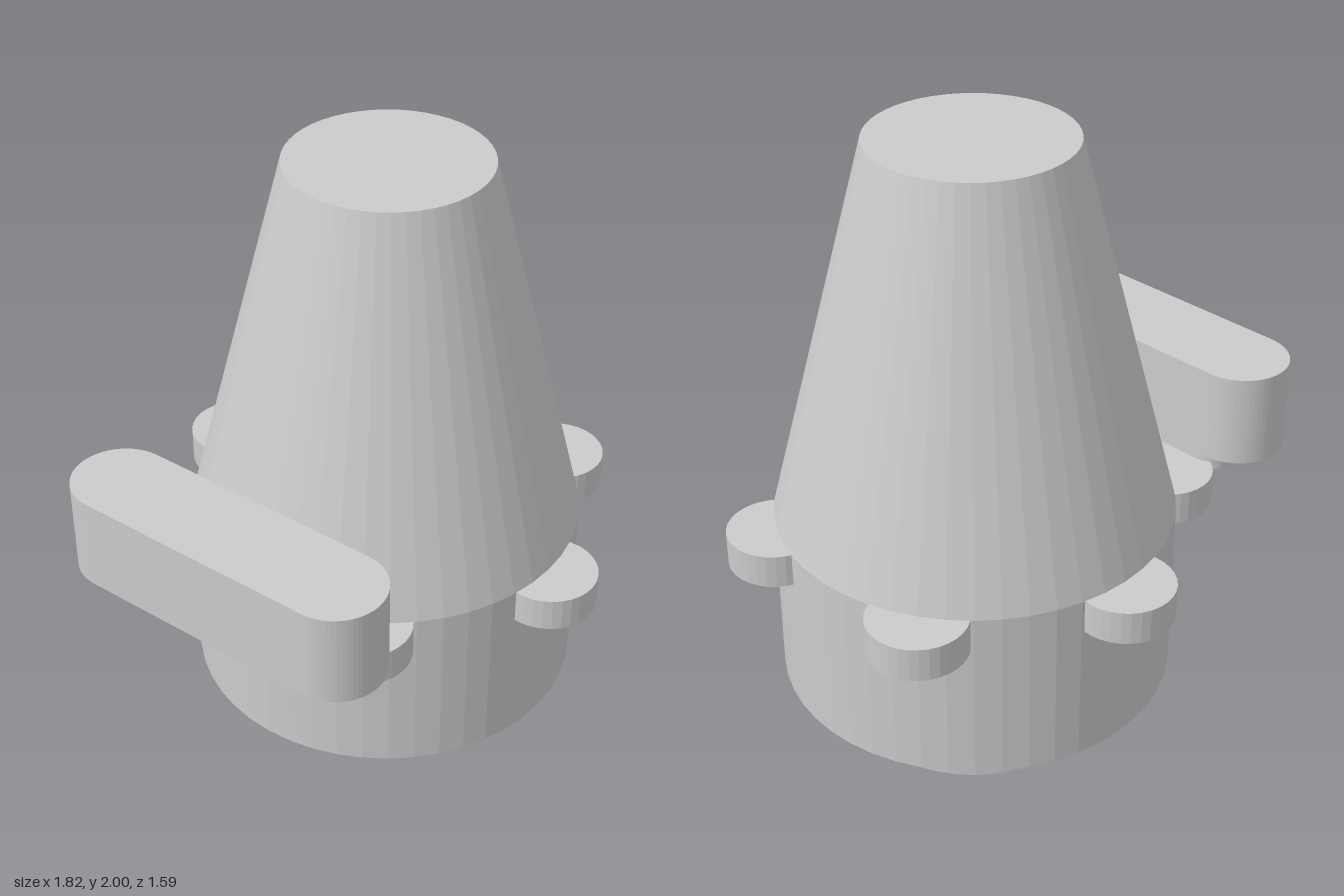
import * as THREE from 'three';

const material = new THREE.MeshStandardMaterial({ color: 0xcccccc, flatShading: true });
const AXIS = { x: 0.125, z: -0.097 };
const BODY_R = 0.63;
const LUG_R = 0.155;

function addMesh(parent, name, geometry, x, y, z) {
  const mesh = new THREE.Mesh(geometry, material);
  mesh.name = name;
  mesh.position.set(x, y, z);
  parent.add(mesh);
  return mesh;
}

// Turned section standing between two heights
function turned(parent, name, rTop, rBottom, y0, y1, x = AXIS.x, z = AXIS.z, sides = 48) {
  return addMesh(parent, name, new THREE.CylinderGeometry(rTop, rBottom, y1 - y0, sides), x, (y0 + y1) / 2, z);
}

// Upright slab with round ends, long along local x
function roundedBar(halfLength, radius, height) {
  const shape = new THREE.Shape();
  shape.absarc(halfLength, 0, radius, -Math.PI / 2, Math.PI / 2, false);
  shape.absarc(-halfLength, 0, radius, Math.PI / 2, Math.PI * 1.5, false);
  shape.closePath();
  const geometry = new THREE.ExtrudeGeometry(shape, { depth: height, bevelEnabled: false, curveSegments: 16 });
  return geometry.rotateX(-Math.PI / 2);
}

export function createModel() {
  const model = new THREE.Group();
  model.name = 'model';

  // Stepped body
  turned(model, 'base', 0.425, 0.425, 0, 0.2);
  turned(model, 'drum', BODY_R, BODY_R, 0.2, 0.775);
  turned(model, 'cone', 0.315, BODY_R, 0.775, 2);

  // Six round lugs centred on the drum's rim
  const lugs = new THREE.Group();
  lugs.name = 'lugs';
  for (let i = 0; i < 6; i++) {
    const a = (i * Math.PI) / 3;
    turned(lugs, 'lug', LUG_R, LUG_R, 0.665, 0.775,
      AXIS.x + BODY_R * Math.cos(a), AXIS.z + BODY_R * Math.sin(a), 32);
  }
  model.add(lugs);

  // Bar resting beside the cone, on a slimmer spacer
  const turn = -Math.PI / 3;
  addMesh(model, 'sideBar', roundedBar(0.403, LUG_R, 0.305), -0.557, 0.825, 0.291).rotation.y = turn;
  addMesh(model, 'barSpacer', roundedBar(0.342, 0.075, 0.08), -0.515, 0.745, 0.267).rotation.y = turn;

  return model;
}
